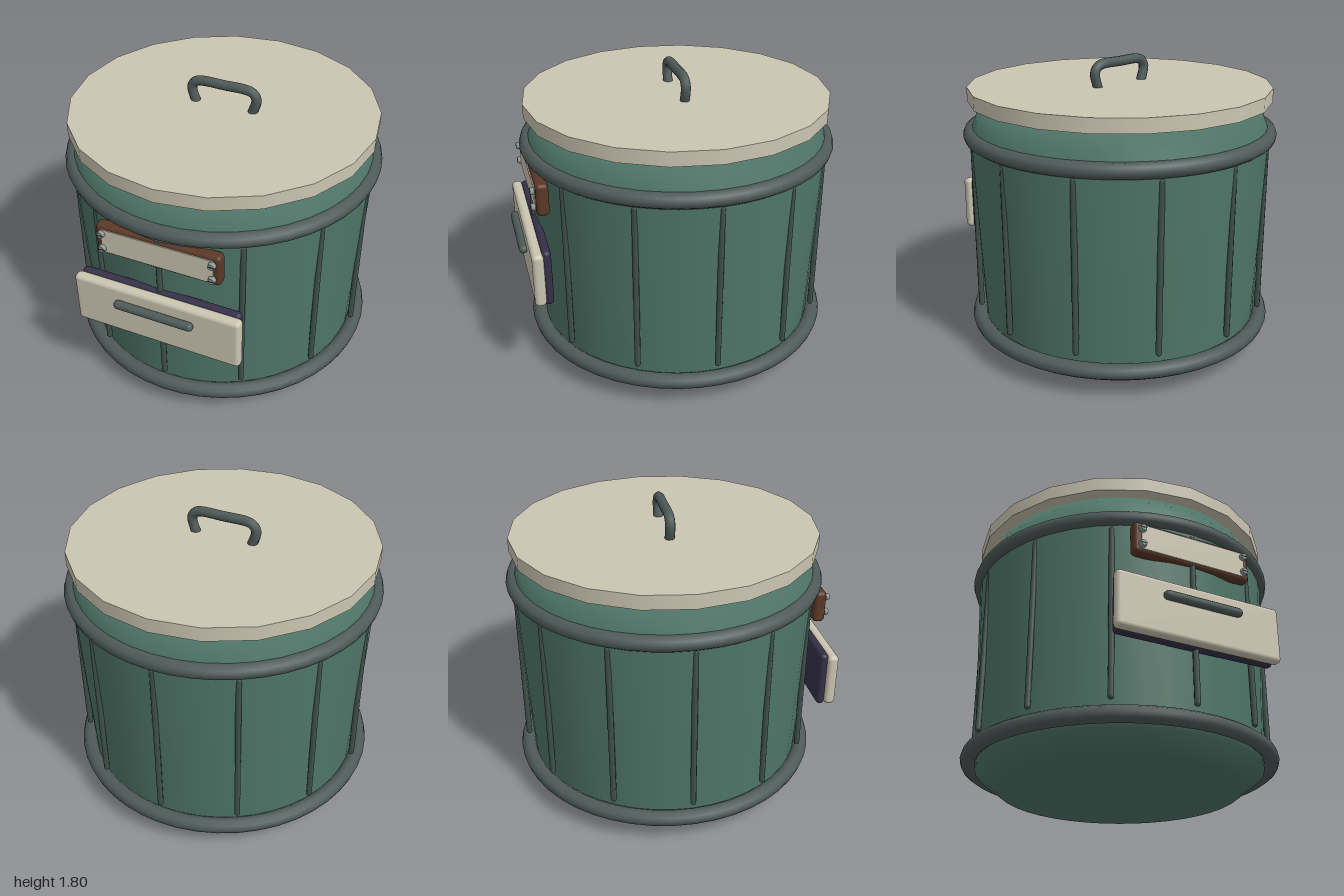
import * as THREE from 'three';
import { RoundedBoxGeometry } from 'three/addons/geometries/RoundedBoxGeometry.js';

const mat = (color) => new THREE.MeshStandardMaterial({ color });

export function createModel() {
  const root = new THREE.Group();
  root.name = 'compostBin';
  const green = mat(0x4f7668), iron = mat(0x4f5b59), ribIron = mat(0x3f514b);
  const cream = mat(0xcbc5b1), brown = mat(0x5a3826), purple = mat(0x353048);
  const steel = mat(0x8a9896), dark = mat(0x2c3332);

  const add = (parent, name, geometry, material, x = 0, y = 0, z = 0) => {
    const mesh = new THREE.Mesh(geometry, material);
    mesh.name = name;
    mesh.position.set(x, y, z);
    parent.add(mesh);
    return mesh;
  };

  // Round bin, its axis slightly behind the origin
  const bin = new THREE.Group();
  bin.name = 'bin';
  bin.position.z = -0.035;
  root.add(bin);

  const profile = [[0, 0], [0.73, 0], [0.87, 0.11], [0.872, 0.2], [0.895, 0.7],
    [0.918, 1.3], [0.915, 1.37], [0.84, 1.56], [0, 1.56]]
    .map(([r, y]) => new THREE.Vector2(r, y));
  add(bin, 'body', new THREE.LatheGeometry(profile, 40), green);

  // Hoops
  for (const [name, y] of [['lowerHoop', 0.165], ['upperHoop', 1.352]]) {
    add(bin, name, new THREE.TorusGeometry(0.912, 0.048, 10, 48), iron, 0, y).rotation.x = Math.PI / 2;
  }

  // Vertical ribs that sink into the flaring wall near the top
  const rib = new THREE.CapsuleGeometry(0.018, 1.02, 4, 8);
  for (let i = 0; i < 12; i++) {
    const a = (i * Math.PI) / 6;
    add(bin, 'rib', rib, ribIron, 0.905 * Math.sin(a), 0.775, 0.905 * Math.cos(a));
  }

  // Lid with a bent bar handle
  add(bin, 'lid', new THREE.CylinderGeometry(0.925, 0.925, 0.085, 20), cream, 0, 1.5925);
  const bend = [[-0.18, 1.62], [-0.205, 1.72], [-0.175, 1.76], [0, 1.769],
    [0.175, 1.76], [0.205, 1.72], [0.18, 1.62]].map(([x, y]) => new THREE.Vector3(x, y, 0));
  add(bin, 'lidHandle', new THREE.TubeGeometry(new THREE.CatmullRomCurve3(bend), 40, 0.03, 10), iron);

  // Name plate held by four slotted screws
  const plate = new THREE.Group();
  plate.name = 'namePlate';
  plate.position.set(0, 1.19, 0);
  root.add(plate);
  add(plate, 'plateBacking', new RoundedBoxGeometry(0.76, 0.2, 0.075, 3, 0.025), brown, 0, 0, 0.853);
  add(plate, 'plateFace', new THREE.BoxGeometry(0.68, 0.155, 0.02), cream, 0, 0, 0.887);
  const screw = new THREE.CylinderGeometry(0.019, 0.024, 0.024, 12);
  for (const x of [-0.335, 0.335]) for (const y of [-0.05, 0.05]) {
    add(plate, 'screw', screw, steel, x, y, 0.906).rotation.x = Math.PI / 2;
    add(plate, 'screwSlot', new THREE.BoxGeometry(0.034, 0.006, 0.004), dark, x, y, 0.918);
  }

  // Hatch with its frame and pull bar
  const hatch = new THREE.Group();
  hatch.name = 'hatch';
  hatch.position.y = 0.745;
  root.add(hatch);
  add(hatch, 'hatchFrame', new RoundedBoxGeometry(1.0, 0.355, 0.055, 3, 0.025), purple, 0, 0, 0.868);
  add(hatch, 'hatchDoor', new RoundedBoxGeometry(1.04, 0.34, 0.068, 3, 0.027), cream, 0, 0, 0.92);
  add(hatch, 'hatchPull', new THREE.CapsuleGeometry(0.027, 0.445, 5, 12), iron, 0, 0.065, 0.973).rotation.z = Math.PI / 2;

  return root;
}
